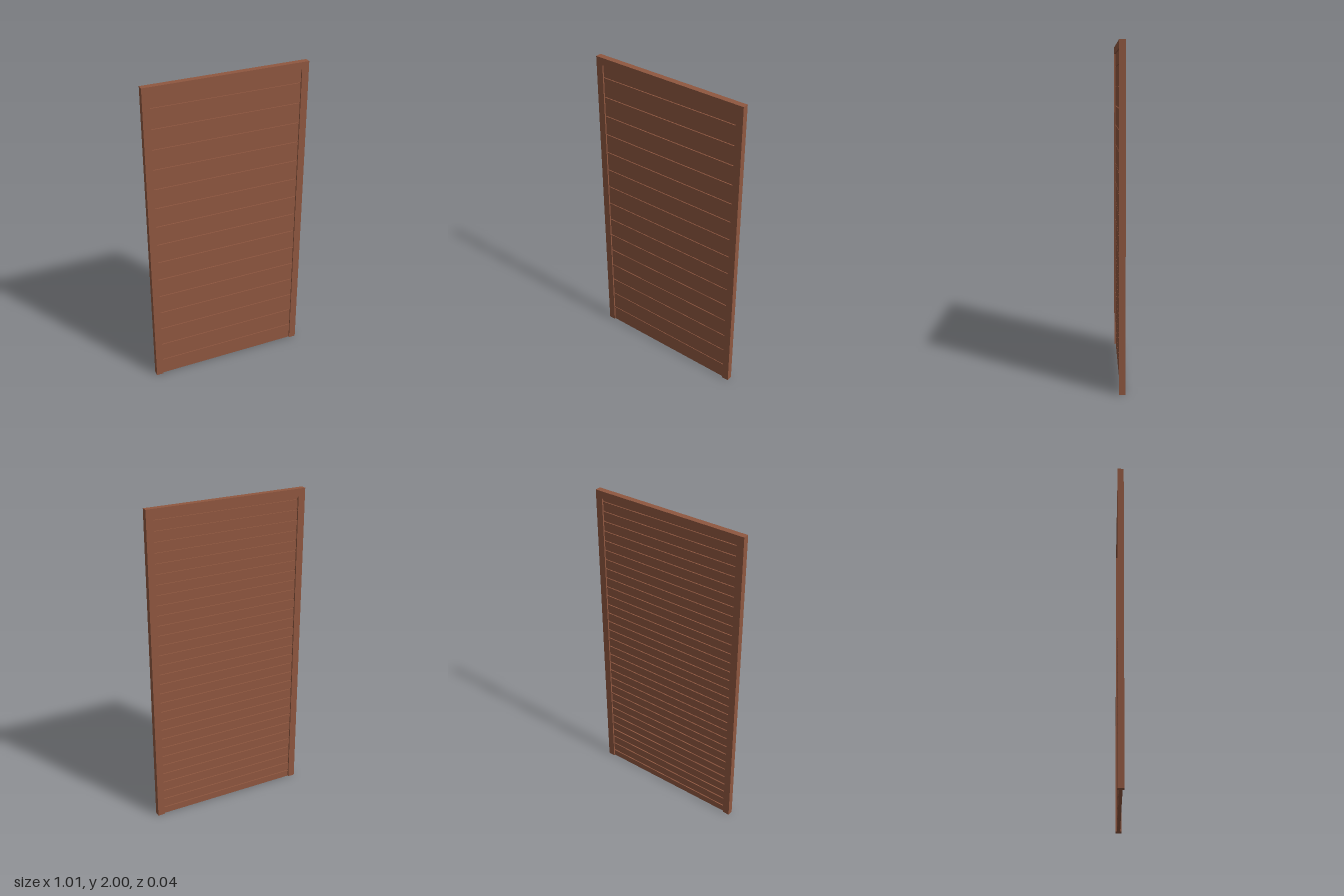
import * as THREE from 'three';

const HALF_W = 0.507, POST_W = 0.044, RAIL_H = 0.045, DEPTH = 0.037;
const PITCH = 0.126, FIRST = 0.11, PANEL_TOP = 2 - RAIL_H, FACE = 0.0095;

export function createModel() {
  const model = new THREE.Group();
  model.name = 'slattedPanel';
  const wood = new THREE.MeshStandardMaterial({ color: 0x8f5740 });
  wood.name = 'reddish brown wood';

  const add = (name, geometry, x, y) => {
    const mesh = new THREE.Mesh(geometry, wood);
    mesh.name = name;
    mesh.position.set(x, y, 0);
    model.add(mesh);
  };

  // Frame: two posts with the top rail lying across them
  for (const [name, s] of [['leftPost', 1], ['rightPost', -1]]) {
    add(name, new THREE.BoxGeometry(POST_W, PANEL_TOP, DEPTH), s * (HALF_W - POST_W / 2), PANEL_TOP / 2);
  }
  add('topRail', new THREE.BoxGeometry(HALF_W * 2, RAIL_H, DEPTH), 0, 2 - RAIL_H / 2);

  // Infill boards: side profile with wide boards in front, narrow ones behind
  const grooves = (start, pitch, width, depth, side) => {
    const points = [];
    for (let y = start; y < PANEL_TOP - width; y += pitch) {
      const outer = side * FACE, inner = side * (FACE - depth);
      points.push(
        new THREE.Vector2(outer, y - width / 2), new THREE.Vector2(inner, y - width / 2),
        new THREE.Vector2(inner, y + width / 2), new THREE.Vector2(outer, y + width / 2));
    }
    return points;
  };
  const profile = new THREE.Shape([
    new THREE.Vector2(-FACE, 0), new THREE.Vector2(FACE, 0),
    ...grooves(FIRST, PITCH, 0.005, 0.007, 1),
    new THREE.Vector2(FACE, PANEL_TOP), new THREE.Vector2(-FACE, PANEL_TOP),
    ...grooves(FIRST - PITCH / 2, PITCH / 2, 0.008, 0.007, -1).reverse(),
  ]);
  const width = 2 * (HALF_W - POST_W);
  const boards = new THREE.ExtrudeGeometry(profile, { depth: width, bevelEnabled: false });
  boards.rotateY(-Math.PI / 2).translate(width / 2, 0, 0);
  add('infillBoards', boards, 0, 0);

  return model;
}
